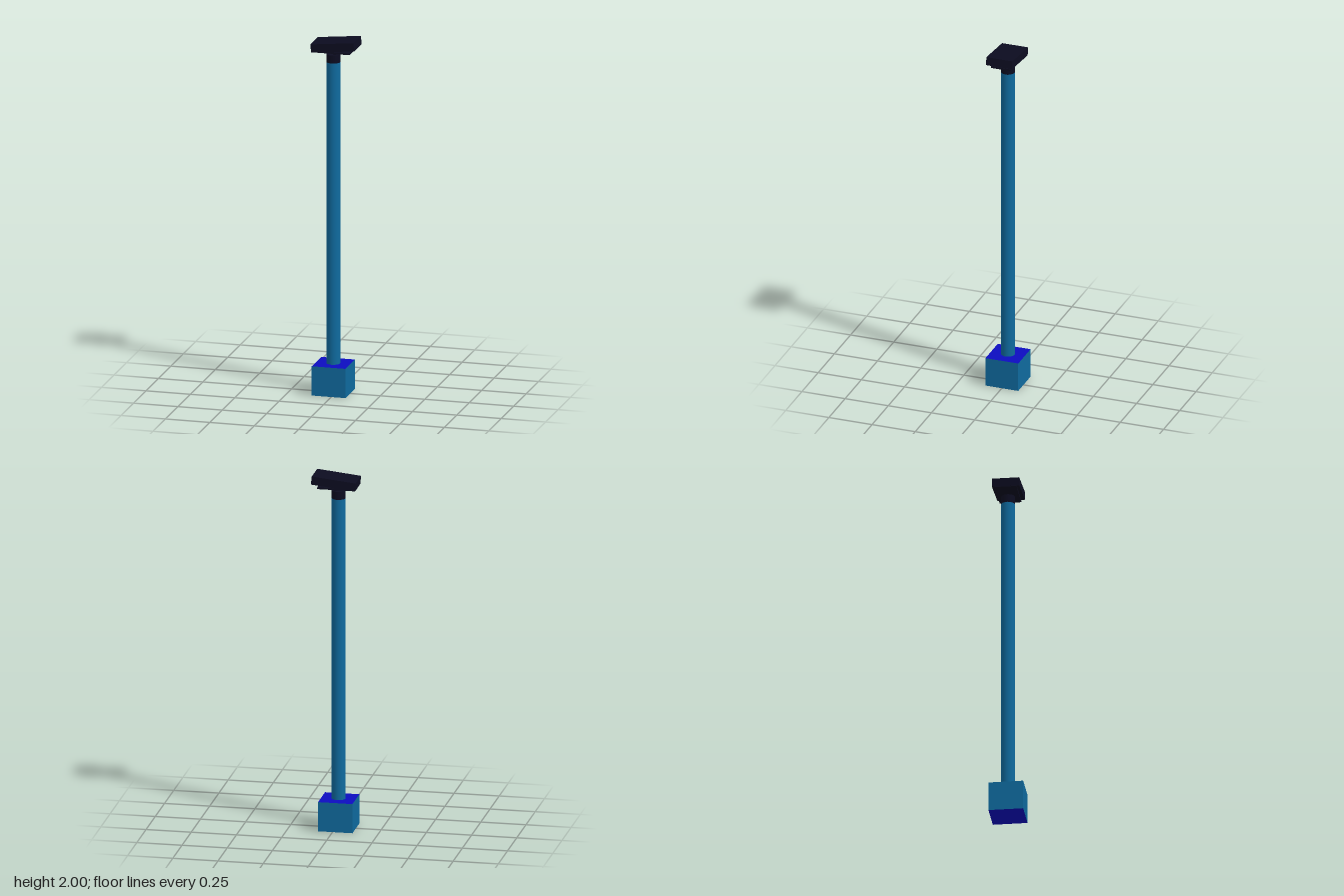
import * as THREE from 'three';

const mat = (name, color) => {
  const m = new THREE.MeshStandardMaterial({ color });
  m.name = name;
  return m;
};

export function createModel() {
  const model = new THREE.Group();
  model.name = 'lampPost';
  const teal = mat('teal', 0x0f6a9e);
  const blue = mat('blue', 0x0c0cc0);
  const black = mat('nearBlack', 0x0c0c20);
  const axisX = -0.015; // the post stands slightly off the lamp's centre

  const add = (name, geometry, material, x, y, z = 0, tilt = 0) => {
    const mesh = new THREE.Mesh(geometry, material);
    mesh.name = name;
    mesh.position.set(x, y, z);
    mesh.rotation.z = tilt;
    model.add(mesh);
    return mesh;
  };

  // Footing block: teal sides, blue top and bottom
  add('base', new THREE.BoxGeometry(0.19, 0.165, 0.19),
    [teal, teal, blue, blue, teal, teal], axisX, 0.0825);

  // Post and its dark collar
  add('post', new THREE.CylinderGeometry(0.038, 0.038, 1.7, 32), teal, axisX, 1.015);
  add('collar', new THREE.CylinderGeometry(0.038, 0.038, 0.046, 32), black, axisX, 1.887);

  // Pivot block standing on its edge
  add('pivot', new THREE.BoxGeometry(0.05, 0.05, 0.05), black, 0, 1.941, 0, Math.PI / 4);

  // Level plate under the tilted head
  add('lampPlate', new THREE.BoxGeometry(0.21, 0.01, 0.118), black, -0.013, 1.931);
  add('lampHead', new THREE.BoxGeometry(0.244, 0.046, 0.15), black, 0, 1.9645, 0, 0.105);

  return model;
}
